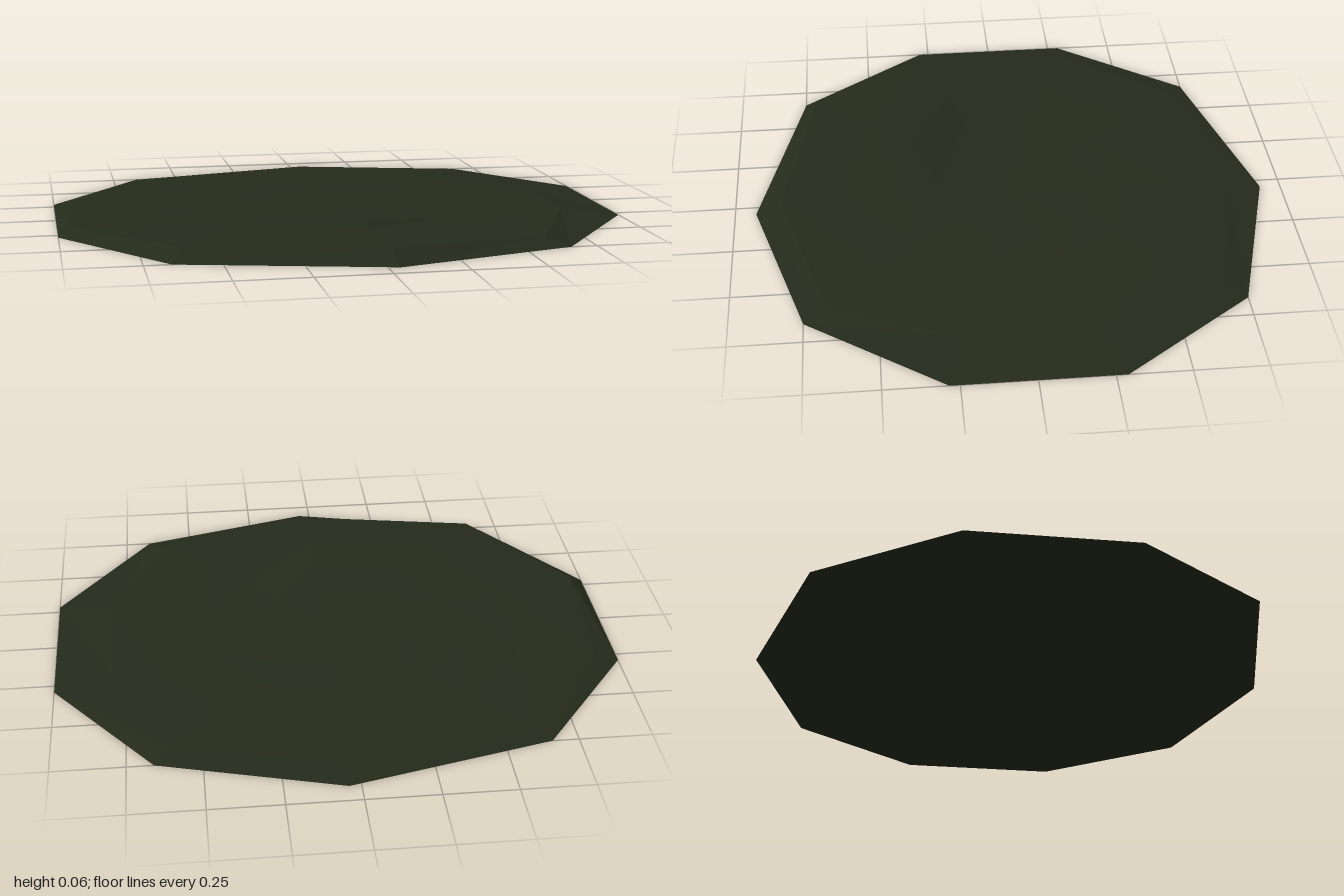
import * as THREE from 'three';

// Ten corners of the patch, walking from the front towards +x
const OUTLINE = [
  [0.04, 0.925], [0.66, 0.75], [1, 0.285], [1, -0.29], [0.66, -0.75],
  [0.04, -0.925], [-0.66, -0.75], [-1, -0.29], [-1, 0.285], [-0.66, 0.75],
];

// Concentric rings: share of the outline (one value or one per corner) and heights
const RINGS = [
  { s: 1, h: Array(10).fill(0) },
  { s: [0.9, 0.9, 0.8, 0.8, 0.9, 0.88, 0.92, 0.92, 0.95, 0.94],
    h: [0.042, 0.022, 0.022, 0.02, 0.012, 0.01, 0.012, 0.014, 0.027, 0.045] },
  { s: 0.65, h: [0.056, 0.026, 0.022, 0.024, 0.024, 0.015, 0.022, 0.02, 0.032, 0.062] },
  { s: 0.45, h: [0.054, 0.022, 0.024, 0.022, 0.026, 0.018, 0.024, 0.02, 0.026, 0.052] },
  { s: 0.28, h: [0.038, 0.026, 0.024, 0.02, 0.018, 0.016, 0.018, 0.02, 0.024, 0.034] },
];
const N = OUTLINE.length;

function moundGeometry() {
  const pos = [], index = [];
  for (const { s, h } of RINGS) {
    OUTLINE.forEach(([x, z], k) => {
      const f = Array.isArray(s) ? s[k] : s;
      pos.push(x * f, h[k], z * f);
    });
  }
  const centre = pos.length / 3;
  pos.push(0.01, 0.02, 0);

  // Bands between rings
  for (let r = 0; r < RINGS.length - 1; r++) {
    for (let k = 0; k < N; k++) {
      const a = r * N + k, b = r * N + (k + 1) % N;
      index.push(a, b, b + N, a, b + N, a + N);
    }
  }
  // Middle fan
  const last = (RINGS.length - 1) * N;
  for (let k = 0; k < N; k++) index.push(last + k, last + (k + 1) % N, centre);

  const geo = new THREE.BufferGeometry();
  geo.setAttribute('position', new THREE.Float32BufferAttribute(pos, 3));
  geo.setIndex(index);
  geo.computeVertexNormals();
  return geo;
}

export function createModel() {
  const group = new THREE.Group();
  group.name = 'groundPatch';
  const material = new THREE.MeshStandardMaterial({ color: 0x252b1b, flatShading: true });

  // Uneven upper surface
  const mound = new THREE.Mesh(moundGeometry(), material);
  mound.name = 'mound';
  group.add(mound);

  // Flat underside, facing down
  const shape = new THREE.Shape(OUTLINE.map(([x, z]) => new THREE.Vector2(x, z)));
  const base = new THREE.Mesh(new THREE.ShapeGeometry(shape).rotateX(Math.PI / 2), material);
  base.name = 'underside';
  group.add(base);

  return group;
}
